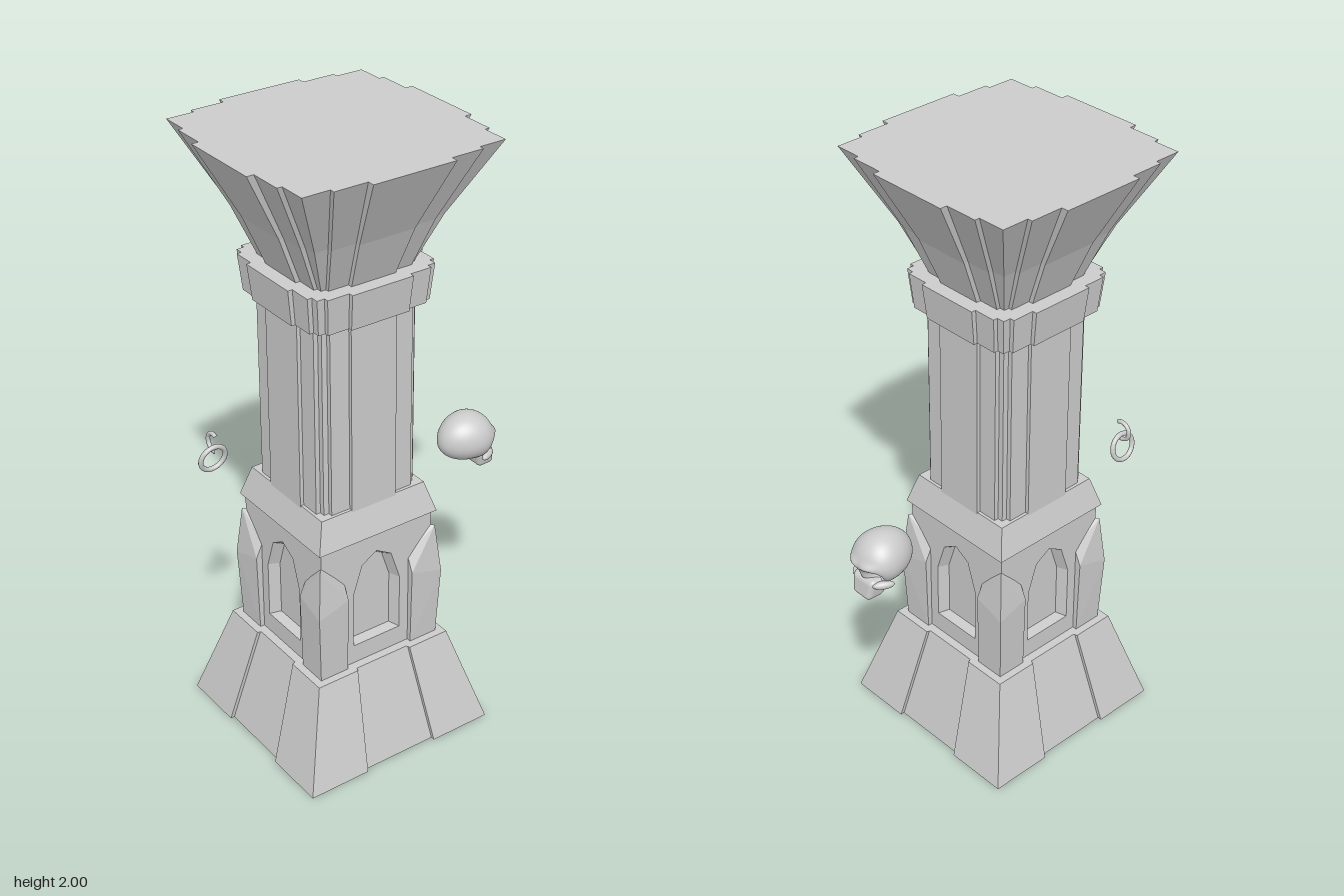
import * as THREE from 'three';
import { ConvexGeometry } from 'three/addons/geometries/ConvexGeometry.js';
import { RoundedBoxGeometry } from 'three/addons/geometries/RoundedBoxGeometry.js';

const stone = new THREE.MeshStandardMaterial({ color: 0xcccccc, flatShading: true, side: THREE.DoubleSide });
const smooth = new THREE.MeshStandardMaterial({ color: 0xcccccc });

function add(parent, name, geometry, material = stone) {
  const mesh = new THREE.Mesh(geometry, material);
  mesh.name = name;
  parent.add(mesh);
  return mesh;
}

// Square outline with two steps per side: half depths p, m, c and half widths w1, w2
function stepped(y, p, w1, m, w2, c) {
  const side = [[c, -c], [c, -w2], [m, -w2], [m, -w1], [p, -w1], [p, w1], [m, w1], [m, w2], [c, w2]];
  const loop = [];
  for (let k = 0; k < 4; k++) {
    for (const [x, z] of side) {
      const [rx, rz] = [[x, z], [-z, x], [-x, -z], [z, -x]][k];
      loop.push([rx, y, rz]);
    }
  }
  return loop;
}

const square = (y, h) => [[h, y, -h], [h, y, h], [-h, y, h], [-h, y, -h]];

// Joins closed loops with quads, with optional fan caps
function loft(loops, capBottom = true, capTop = true) {
  const pos = [];
  const tri = (...pts) => pts.forEach((p) => pos.push(...p));
  const n = loops[0].length;
  for (let l = 0; l < loops.length - 1; l++) {
    for (let i = 0; i < n; i++) {
      const j = (i + 1) % n;
      const [a, b, c, d] = [loops[l][i], loops[l][j], loops[l + 1][i], loops[l + 1][j]];
      tri(a, c, d);
      tri(a, d, b);
    }
  }
  const cap = (loop, up) => {
    const mid = [0, loop[0][1], 0];
    loop.forEach((p, i) => {
      const q = loop[(i + 1) % n];
      if (up) tri(mid, q, p);
      else tri(mid, p, q);
    });
  };
  if (capBottom) cap(loops[0], false);
  if (capTop) cap(loops[loops.length - 1], true);
  const g = new THREE.BufferGeometry();
  g.setAttribute('position', new THREE.Float32BufferAttribute(pos, 3));
  g.computeVertexNormals();
  return g;
}

// Pointed arch outline, inset by d
const arch = (d) => [
  [-0.087 + d, 0.39 + d * 0.3], [0.087 - d, 0.39 + d * 0.3], [0.087 - d, 0.58],
  [0.054 - d * 0.7, 0.68 - d * 0.8], [0, 0.712 - d * 1.2], [-0.054 + d * 0.7, 0.68 - d * 0.8], [-0.087 + d, 0.58],
];
const toShape = (pts) => new THREE.Shape(pts.map(([x, y]) => new THREE.Vector2(x, y)));

function createPillar() {
  const pillar = new THREE.Group();
  pillar.name = 'pillar';

  // Sloped plinth, hollow underneath, with recessed middle panels
  add(pillar, 'plinth', loft([
    stepped(0, 0.327, 0.08, 0.327, 0.13, 0.34),
    stepped(0.325, 0.233, 0.06, 0.233, 0.1, 0.245),
  ], false, true));

  // Four niche walls and corner buttresses
  const wall = toShape([[-0.205, 0.325], [0.205, 0.325], [0.205, 0.78], [-0.205, 0.78]]);
  wall.holes.push(toShape(arch(0)));
  const wallGeo = new THREE.ShapeGeometry(wall).translate(0, 0, 0.205);
  const backGeo = new THREE.ShapeGeometry(toShape(arch(0.015))).translate(0, 0, 0.17);
  const revealGeo = loft([
    arch(0.015).map(([x, y]) => [x, y, 0.17]),
    arch(0).map(([x, y]) => [x, y, 0.205]),
  ], false, false);
  const buttressGeo = new ConvexGeometry([
    [0.12, 0.325, 0.12],
    [0.12, 0.325, 0.22], [0.22, 0.325, 0.22], [0.22, 0.325, 0.12],
    [0.12, 0.59, 0.226], [0.23, 0.56, 0.23], [0.226, 0.59, 0.12],
    [0.12, 0.645, 0.2], [0.2, 0.645, 0.12],
    [0.214, 0.725, 0.214], [0.2, 0.728, 0.2],
  ].map((p) => new THREE.Vector3(...p)));
  for (let k = 0; k < 4; k++) {
    const side = new THREE.Group();
    side.name = 'nicheSide';
    side.rotation.y = k * Math.PI / 2;
    add(side, 'nicheWall', wallGeo);
    add(side, 'nicheReveal', revealGeo);
    add(side, 'nicheBack', backGeo);
    add(side, 'cornerButtress', buttressGeo);
    pillar.add(side);
  }

  add(pillar, 'ledge', loft([square(0.78, 0.217), square(0.88, 0.188)]));
  add(pillar, 'shaft', loft([
    stepped(0.87, 0.19, 0.08, 0.178, 0.145, 0.163),
    stepped(1.51, 0.19, 0.08, 0.178, 0.145, 0.163),
  ]));
  add(pillar, 'collar', loft([
    stepped(1.5, 0.22, 0.1, 0.207, 0.17, 0.193),
    stepped(1.615, 0.233, 0.105, 0.218, 0.178, 0.203),
  ]));
  // Flared capital
  add(pillar, 'capital', loft([
    stepped(1.61, 0.185, 0.075, 0.17, 0.142, 0.158),
    stepped(1.77, 0.25, 0.094, 0.235, 0.176, 0.22),
    stepped(2, 0.373, 0.137, 0.35, 0.245, 0.334),
  ]));
  return pillar;
}

function createSkull() {
  const skull = new THREE.Group();
  skull.name = 'skull';
  const bump = (dy, dz, r) => Math.exp(-(dy * dy + dz * dz) / (r * r));

  // Cranium: tapered ellipsoid with pressed eye sockets and nose
  const g = new THREE.SphereGeometry(1, 64, 48);
  const p = g.attributes.position;
  for (let i = 0; i < p.count; i++) {
    const [ux, uy, uz] = [p.getX(i), p.getY(i), p.getZ(i)];
    let x = 0.385 + ux * (ux > 0 ? 0.092 : 0.1);
    const y = 0.838 + uy * (uy > 0 ? 0.087 : 0.07 + 0.02 * Math.max(ux, 0));
    const z = uz * 0.084 * (1 + 0.14 * ux);
    if (ux > 0) {
      const az = Math.abs(z);
      x += 0.012 * bump(y - 0.845, (az - 0.03) * 0.5, 0.014);
      x -= 0.045 * bump(y - 0.81, az - 0.037, 0.021);
      x -= 0.025 * bump(y - 0.775, az, 0.011);
    }
    p.setXYZ(i, x, y, z);
  }
  g.computeVertexNormals();
  add(skull, 'cranium', g, smooth);

  // Upper jaw narrowing to the teeth
  const jaw = new RoundedBoxGeometry(0.065, 0.07, 0.1, 4, 0.016);
  const q = jaw.attributes.position;
  for (let i = 0; i < q.count; i++) {
    const t = (q.getY(i) + 0.035) / 0.07;
    q.setZ(i, q.getZ(i) * (0.78 + 0.25 * t) * (1 - 3 * Math.max(q.getX(i), 0)));
    q.setX(i, q.getX(i) - 0.012 * t);
  }
  jaw.computeVertexNormals();
  add(skull, 'upperJaw', jaw, smooth).position.set(0.446, 0.762, 0);

  for (const s of [-1, 1]) {
    const cheek = add(skull, 'cheekbone', new THREE.SphereGeometry(1, 20, 14), smooth);
    cheek.scale.set(0.034, 0.013, 0.013);
    cheek.position.set(0.432, 0.782, s * 0.058);
    cheek.rotation.y = s * 0.5;
  }
  return skull;
}

function createRing() {
  const ring = new THREE.Group();
  ring.name = 'hangingRing';
  const loop = add(ring, 'ring', new THREE.TorusGeometry(0.043, 0.008, 10, 32), smooth);
  loop.position.set(-0.43, 0.95, -0.204);
  loop.rotation.x = 0.2;
  // Hook, open towards the front
  const hook = add(ring, 'hook', new THREE.TorusGeometry(0.03, 0.007, 10, 24, Math.PI * 1.35), smooth);
  hook.rotation.set(0, Math.PI / 2, 0);
  hook.geometry.rotateZ(-Math.PI * 0.675);
  hook.position.set(-0.43, 1.008, -0.198);
  return ring;
}

export function createModel() {
  const model = new THREE.Group();
  model.name = 'pillarSet';
  const pillar = createPillar();
  pillar.position.x = -0.115;
  model.add(pillar, createSkull(), createRing());
  return model;
}
